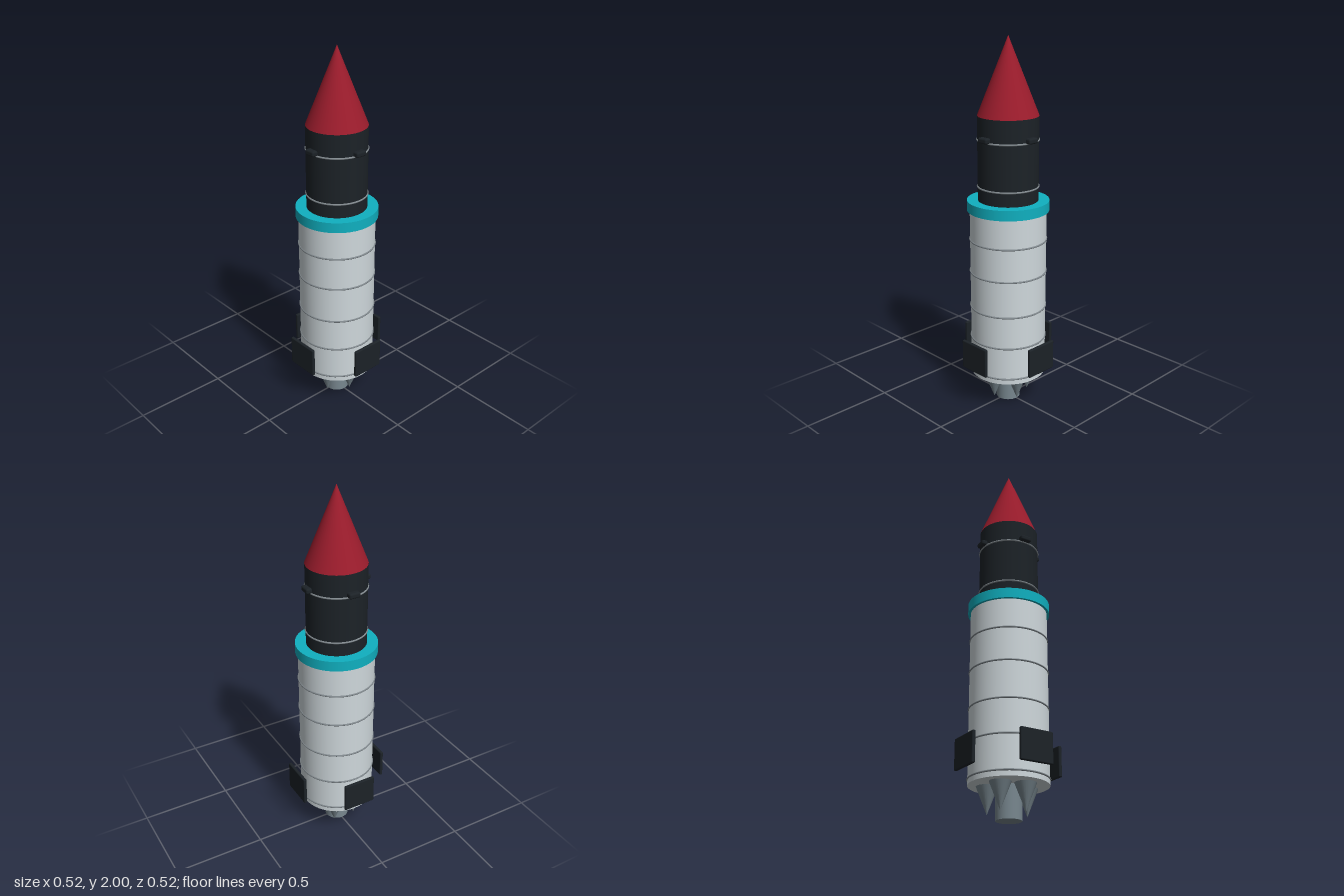
import * as THREE from 'three';
import { RoundedBoxGeometry } from 'three/addons/geometries/RoundedBoxGeometry.js';

const mat = (color) => new THREE.MeshStandardMaterial({ color });
const SIDES = 48;

export function createModel() {
  const rocket = new THREE.Group();
  rocket.name = 'rocket';
  const red = mat(0x9b1c2c), dark = mat(0x1c2227), teal = mat(0x10b0c0);
  const white = mat(0xcfd8dc), steel = mat(0x78878f), seam = mat(0x80888d);

  const add = (name, geometry, material, x = 0, y = 0, z = 0) => {
    const mesh = new THREE.Mesh(geometry, material);
    mesh.name = name;
    mesh.position.set(x, y, z);
    rocket.add(mesh);
    return mesh;
  };
  // upright cylinder or cone between two heights
  const column = (name, rTop, rBottom, y0, y1, material, sides = SIDES, x = 0, z = 0) =>
    add(name, new THREE.CylinderGeometry(rTop, rBottom, y1 - y0, sides), material, x, (y0 + y1) / 2, z);
  const ring = (name, radius, tube, y) =>
    add(name, new THREE.TorusGeometry(radius, tube, 8, SIDES), seam, 0, y).rotateX(Math.PI / 2);

  // main stages
  column('lowerStage', 0.204, 0.204, 0.17, 1.11, white);
  column('collar', 0.218, 0.218, 1.1, 1.155, teal);
  column('upperStage', 0.16, 0.16, 1.15, 1.6, dark);
  column('noseCone', 0, 0.16, 1.6, 2, red);

  // seam rings
  for (const y of [0.2, 0.38, 0.56, 0.76, 0.94]) ring('lowerRing', 0.204, 0.005, y);
  for (const y of [1.23, 1.477]) ring('upperRing', 0.16, 0.005, y);

  // engines: central nozzle and five pointed ones around it
  column('mainNozzle', 0.066, 0.066, 0, 0.18, steel, 32);
  for (let i = 0; i < 5; i++) {
    const a = (i * Math.PI * 2) / 5;
    column('smallNozzle', 0.056, 0, 0.03, 0.172, steel, 24, 0.107 * Math.cos(a), 0.107 * Math.sin(a));
  }

  // four fin panels and four thruster blocks
  const fin = new RoundedBoxGeometry(0.184, 0.162, 0.018, 3, 0.006);
  const thruster = new RoundedBoxGeometry(0.062, 0.03, 0.06, 3, 0.01);
  for (let i = 0; i < 4; i++) {
    const a = (i * Math.PI) / 2, s = Math.sin(a), c = Math.cos(a);
    add('finPanel', fin, dark, 0.25 * s, 0.312, 0.25 * c).rotation.y = a;
    add('thrusterBlock', thruster, dark, 0.156 * s, 1.492, 0.156 * c).rotation.y = a;
  }
  return rocket;
}
